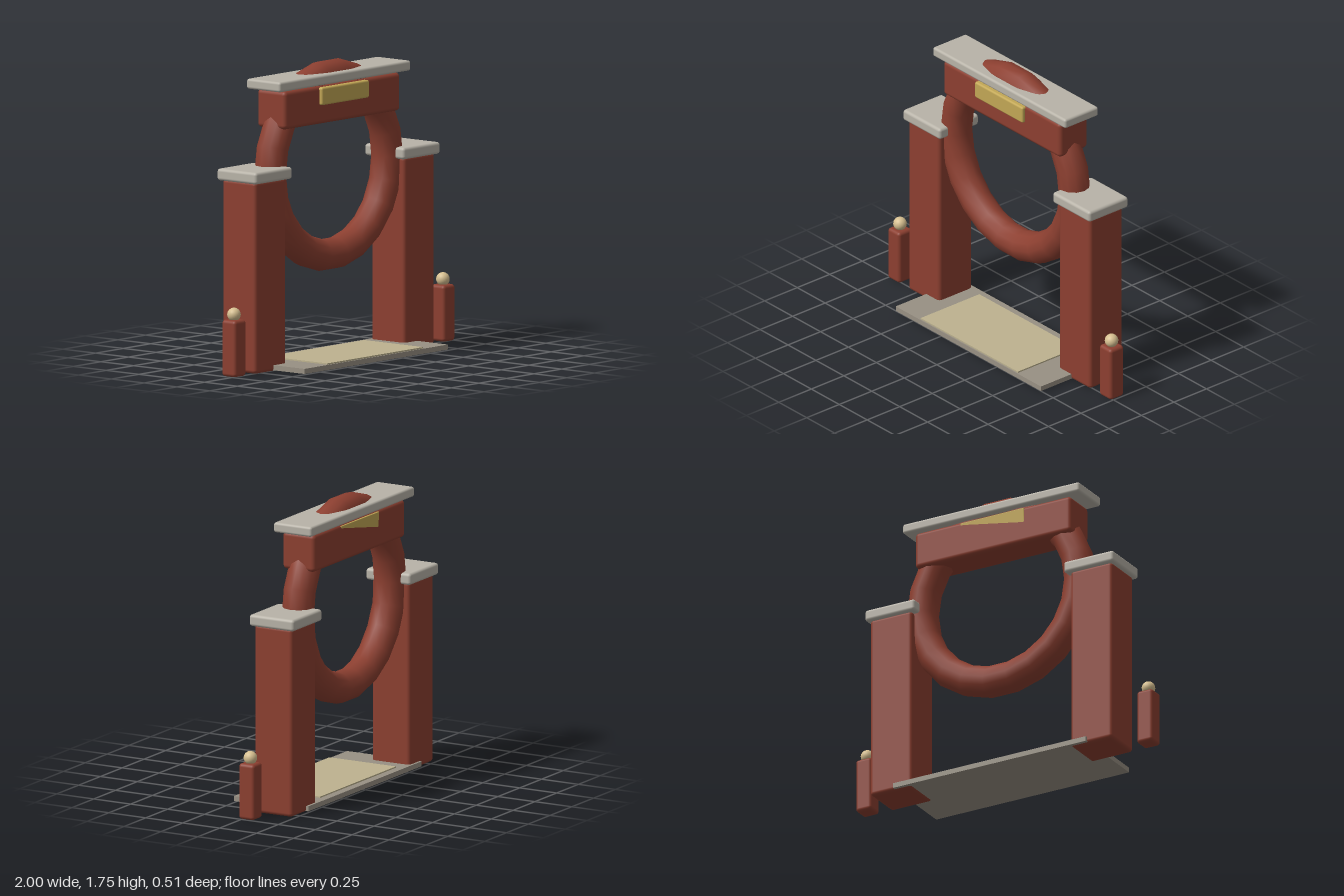
import * as THREE from 'three';
import { RoundedBoxGeometry } from 'three/addons/geometries/RoundedBoxGeometry.js';

const paint = (color) => new THREE.MeshStandardMaterial({ color });

export function createModel() {
  const model = new THREE.Group();
  const red = paint(0x8c3f30);
  const stone = paint(0xb8b3a8);
  const paving = paint(0x989083);
  const sand = paint(0xbdb28f);
  const gold = paint(0xc2a755);
  const cream = paint(0xd6bf90);
  const zMid = -0.105; // centre plane of the gate

  function add(name, geometry, material, x, y, z) {
    const mesh = new THREE.Mesh(geometry, material);
    mesh.name = name;
    mesh.position.set(x, y, z);
    model.add(mesh);
    return mesh;
  }

  // Box with softened edges, placed by its bottom and top heights
  function block(name, material, x, y0, y1, z, width, depth, radius) {
    const geometry = new RoundedBoxGeometry(width, y1 - y0, depth, 3, radius);
    return add(name, geometry, material, x, (y0 + y1) / 2, z);
  }

  // Round opening; its crown rises through the top slab
  add('ring', new THREE.TorusGeometry(0.53, 0.094, 12, 22), red, 0, 1.135, zMid);

  // Lintel with slab and plaques
  block('beam', red, 0, 1.405, 1.63, -0.104, 1.05, 0.218, 0.025);
  block('topSlab', stone, 0, 1.635, 1.695, zMid, 1.19, 0.258, 0.015);
  block('frontPlaque', gold, 0, 1.518, 1.622, 0.005, 0.43, 0.044, 0.012);
  const backPlaque = block('backPlaque', gold, 0, 1.518, 1.622, -0.198, 0.43, 0.03, 0.004);
  backPlaque.rotation.set(-0.054, -0.01, 0);

  // Ground slab and walkway
  add('groundSlab', new THREE.BoxGeometry(1.3, 0.03, 0.505), paving, 0, 0.021, 0.005);
  add('walkway', new THREE.BoxGeometry(0.87, 0.014, 0.45), sand, 0, 0.037, 0.025);

  // Pillars, their caps and the small side posts
  for (const [side, s] of [['left', 1], ['right', -1]]) {
    block(side + 'Pillar', red, s * 0.675, 0, 1.13, zMid, 0.28, 0.255, 0.022);
    block(side + 'PillarCap', stone, s * 0.67, 1.12, 1.19, zMid, 0.335, 0.302, 0.018);
    block(side + 'Post', red, s * 0.947, 0, 0.333, -0.03, 0.106, 0.106, 0.02);
    add(side + 'PostBall', new THREE.SphereGeometry(0.04, 20, 14), cream, s * 0.947, 0.363, -0.03);
  }

  return model;
}
